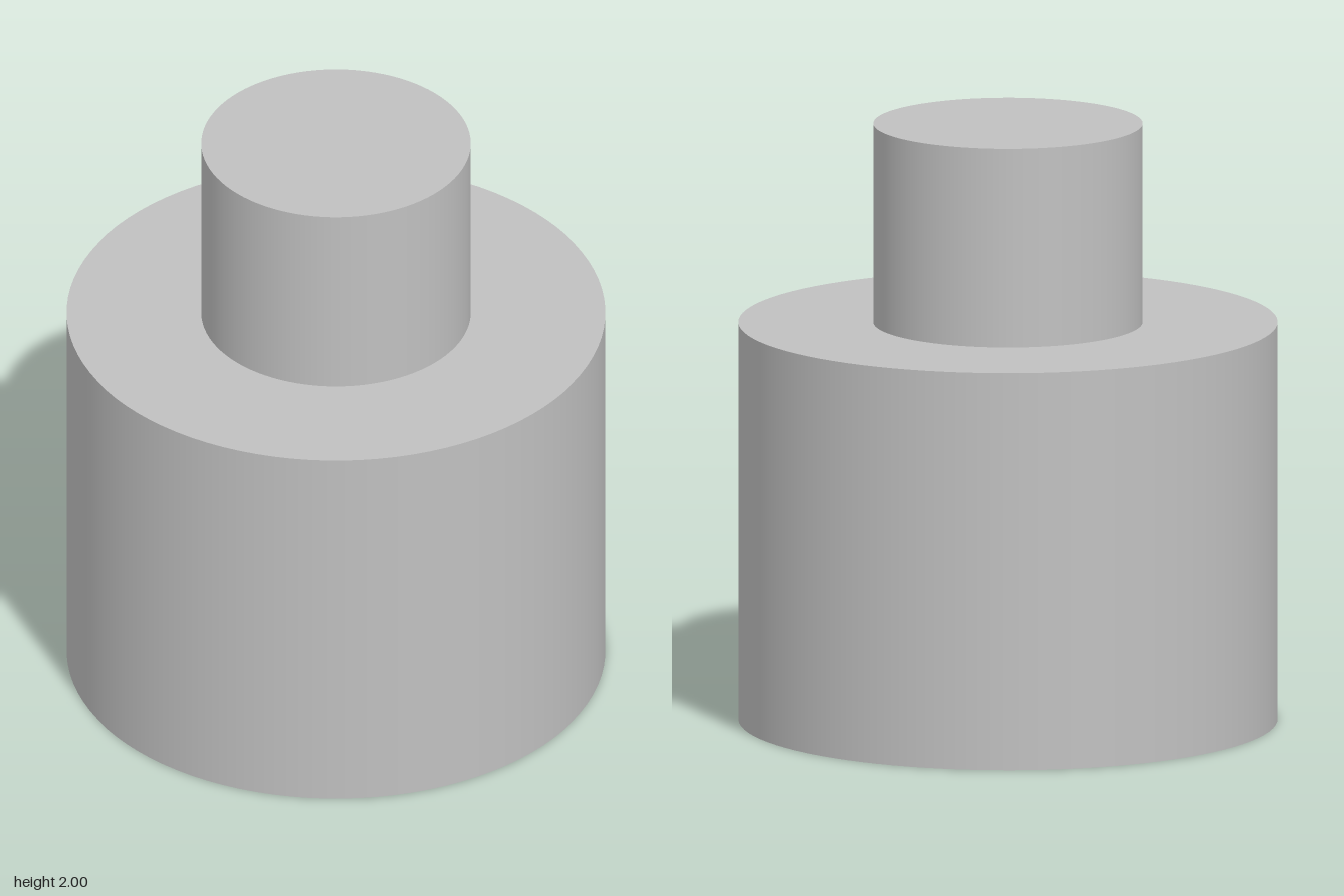
import * as THREE from 'three';

const SEGMENTS = 96;

export function createModel() {
  const group = new THREE.Group();
  group.name = 'steppedCylinder';

  const grey = new THREE.MeshStandardMaterial({ color: 0xc0c0c0 });
  grey.name = 'grey';

  const bodyRadius = 0.889, neckRadius = 0.444, boreRadius = 0.572;
  const shoulder = 1.333, top = 2, boreDepth = 0.89;

  // One surface of revolution per profile edge keeps the rims sharp
  const addSurface = (name, r0, y0, r1, y1) => {
    const points = [new THREE.Vector2(r0, y0), new THREE.Vector2(r1, y1)];
    const mesh = new THREE.Mesh(new THREE.LatheGeometry(points, SEGMENTS), grey);
    mesh.name = name;
    group.add(mesh);
  };

  // Blind bore, open at the bottom
  addSurface('boreCeiling', 0, boreDepth, boreRadius, boreDepth);
  addSurface('boreWall', boreRadius, boreDepth, boreRadius, 0);

  // Wide body
  addSurface('bottomRing', boreRadius, 0, bodyRadius, 0);
  addSurface('bodyWall', bodyRadius, 0, bodyRadius, shoulder);
  addSurface('shoulderRing', bodyRadius, shoulder, neckRadius, shoulder);

  // Solid narrow neck
  addSurface('neckWall', neckRadius, shoulder, neckRadius, top);
  addSurface('neckTop', neckRadius, top, 0, top);

  return group;
}
